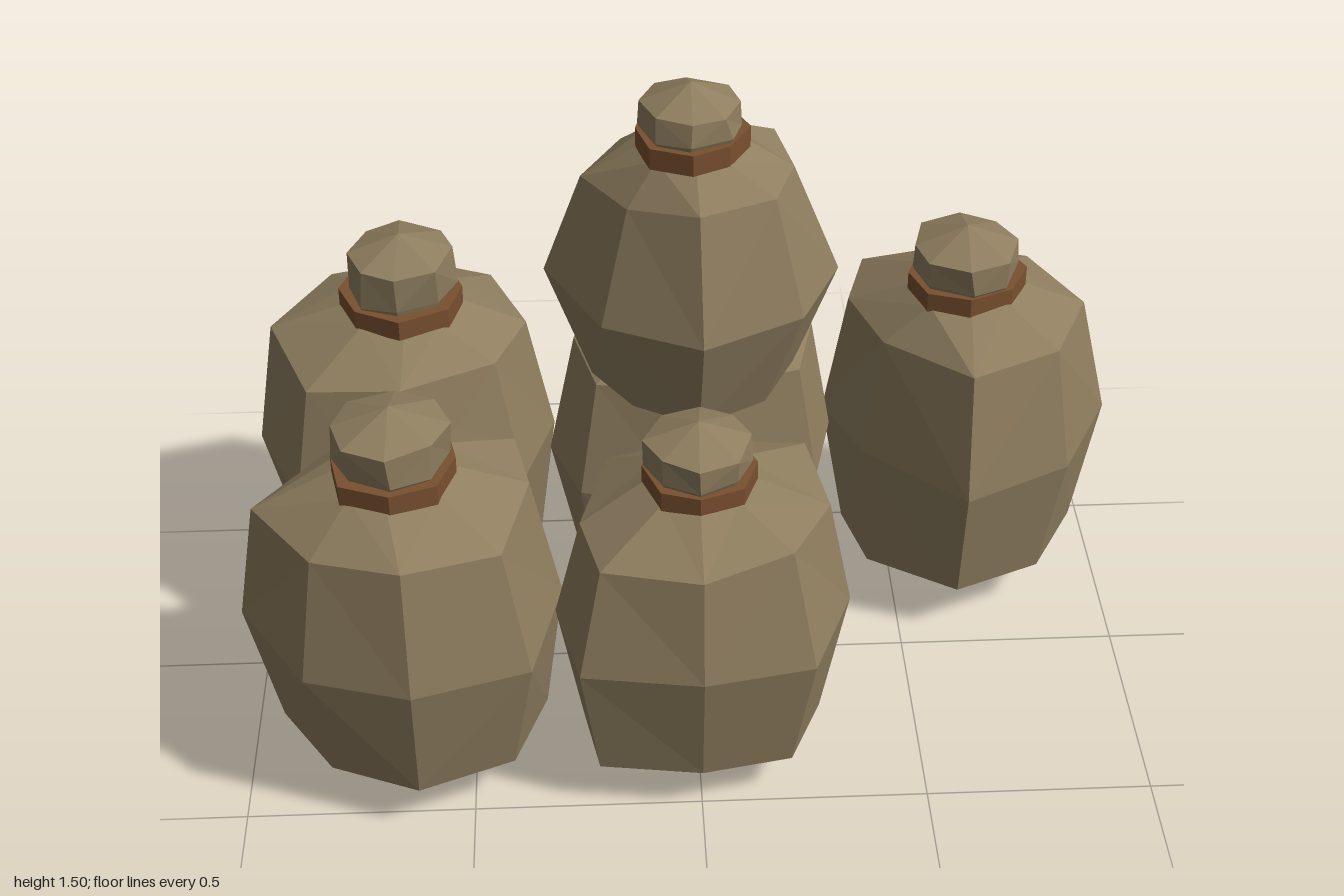
import * as THREE from 'three';

const cloth = new THREE.MeshStandardMaterial({ color: 0x8f7e5f, flatShading: true });
cloth.name = 'burlap';
const cord = new THREE.MeshStandardMaterial({ color: 0x7a5030, flatShading: true });
cord.name = 'brown cord';

// Small seeded noise in -1..1
function makeNoise(seed) {
  let s = seed * 7919 + 17;
  return () => {
    s = (s * 16807) % 2147483647;
    return (s / 2147483647) * 2 - 1;
  };
}

// Skin a list of rings; a one-point ring is a pole. Faces are unshared, so they stay flat.
function skin(rings) {
  const pos = [];
  const tri = (a, b, c) => pos.push(...a, ...b, ...c);
  for (let k = 0; k < rings.length - 1; k++) {
    const lo = rings[k], hi = rings[k + 1];
    const n = Math.max(lo.length, hi.length);
    for (let i = 0; i < n; i++) {
      const j = (i + 1) % n;
      if (lo.length === 1) tri(lo[0], hi[i], hi[j]);
      else if (hi.length === 1) tri(lo[i], hi[0], lo[j]);
      else if (i % 2) {
        tri(lo[i], hi[i], lo[j]);
        tri(lo[j], hi[i], hi[j]);
      } else {
        tri(lo[i], hi[i], hi[j]);
        tri(lo[i], hi[j], lo[j]);
      }
    }
  }
  const g = new THREE.BufferGeometry();
  g.setAttribute('position', new THREE.Float32BufferAttribute(pos, 3));
  g.computeVertexNormals();
  return g;
}

// outline: belly corners [x, z]; tie: centre of the neck [x, y, z]
function sack({ name, outline, tie, base = 0, belly, apex, low = 0.84, high = 0.83, knob = 1 }, index) {
  const noise = makeNoise(index + 1);
  const [cx, ty, cz] = tie;
  const bodyRing = (y, scale, jitter) => outline.map(([x, z]) => {
    const s = scale + noise() * jitter;
    return [cx + (x - cx) * s, y + noise() * 0.014, cz + (z - cz) * s];
  });
  const roundRing = (y, r, jitter) => outline.map((_, i) => {
    const a = Math.PI + (i / outline.length) * Math.PI * 2 + noise() * 0.08;
    const q = r * knob * (1 + noise() * jitter);
    return [cx + Math.cos(a) * q, y + noise() * 0.004, cz + Math.sin(a) * q];
  });

  const group = new THREE.Group();
  group.name = name;
  const add = (part, geometry, material) => {
    const m = new THREE.Mesh(geometry, material);
    m.name = part;
    group.add(m);
  };

  // Bulging body, pointed underneath, drawn in at the neck
  add('sackBody', skin([
    [[cx, base, cz]],
    bodyRing(base + 0.12, low, 0.04),
    bodyRing(belly, 1, 0),
    bodyRing(ty - 0.09, high, 0.04),
    roundRing(ty - 0.015, 0.125, 0.04),
    [[cx, ty, cz]],
  ]), cloth);

  // Gathered cloth above the cord
  add('sackTop', skin([
    [[cx, ty - 0.03, cz]],
    roundRing(ty - 0.02, 0.1, 0.05),
    roundRing(ty + 0.03, 0.122, 0.04),
    roundRing(apex - 0.045, 0.122, 0.05),
    [[cx, apex, cz]],
  ]), cloth);

  // Cord around the neck
  const outer = roundRing(ty, 0.137, 0.06);
  const at = (dy, s) => outer.map(([x, , z]) => [cx + (x - cx) * s, ty + dy, cz + (z - cz) * s]);
  add('neckCord', skin([
    at(-0.025, 0.8), at(-0.025, 1), at(0.023, 1), at(0.023, 0.8), at(-0.025, 0.8),
  ]), cord);
  return group;
}

const sacks = [
  {
    name: 'backRightSack', tie: [-0.64, 0.835, -0.295], belly: 0.45, apex: 1.0,
    outline: [[-1, -0.31], [-0.86, -0.555], [-0.63, -0.615], [-0.42, -0.55],
      [-0.31, -0.31], [-0.38, -0.1], [-0.64, 0.02], [-0.89, -0.03]],
  },
  {
    name: 'backMiddleSack', tie: [0, 0.82, -0.3], belly: 0.44, apex: 0.97,
    outline: [[-0.32, -0.25], [-0.225, -0.525], [0.005, -0.615], [0.27, -0.525],
      [0.34, -0.3], [0.29, -0.08], [0, 0], [-0.25, -0.05]],
  },
  {
    name: 'backLeftSack', tie: [0.635, 0.845, -0.295], belly: 0.45, apex: 0.985,
    outline: [[0.33, -0.37], [0.39, -0.565], [0.63, -0.605], [0.85, -0.545],
      [1, -0.335], [0.875, -0.095], [0.63, 0.02], [0.405, -0.17]],
  },
  {
    name: 'frontRightSack', tie: [-0.635, 0.81, 0.3], belly: 0.42, apex: 0.96,
    outline: [[-0.985, 0.315], [-0.81, 0.1], [-0.6, 0], [-0.35, 0.08],
      [-0.295, 0.27], [-0.36, 0.525], [-0.61, 0.605], [-0.84, 0.525]],
  },
  {
    name: 'frontMiddleSack', tie: [0, 0.765, 0.3], belly: 0.42, apex: 0.9, knob: 0.92,
    outline: [[-0.31, 0.34], [-0.225, 0.07], [0, 0.03], [0.28, 0.07],
      [0.33, 0.32], [0.24, 0.525], [0, 0.585], [-0.26, 0.535]],
  },
  {
    name: 'stackedSack', tie: [0, 1.378, -0.045], base: 0.66, belly: 1.03, apex: 1.505,
    low: 0.7, high: 0.72, knob: 0.88,
    outline: [[-0.315, -0.075], [-0.195, -0.26], [0.02, -0.33], [0.245, -0.25],
      [0.32, -0.07], [0.23, 0.12], [0.015, 0.225], [-0.195, 0.12]],
  },
];

export function createModel() {
  const group = new THREE.Group();
  group.name = 'sackPile';
  sacks.forEach((s, i) => group.add(sack(s, i)));
  return group;
}
